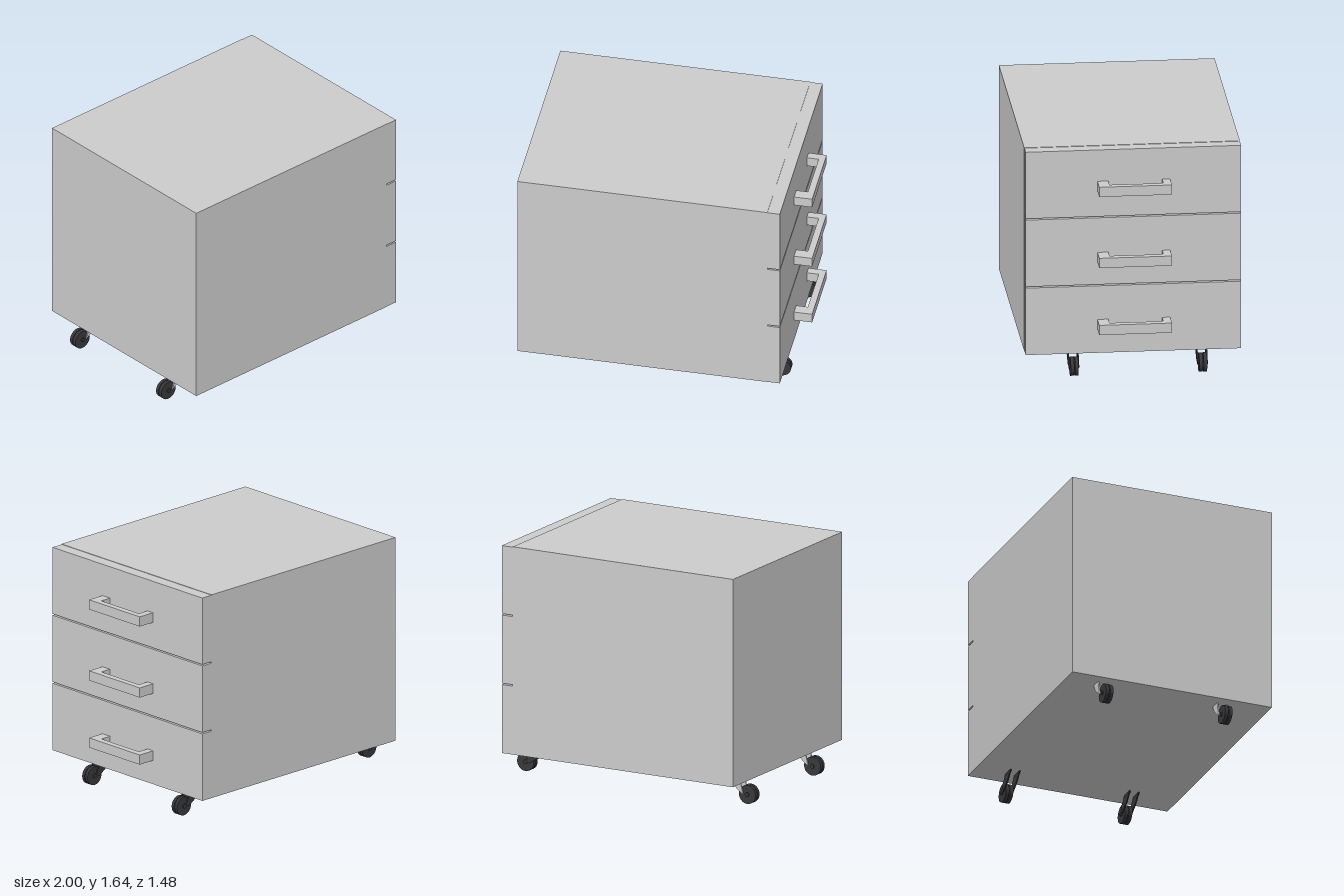
import * as THREE from 'three';

const grey = new THREE.MeshStandardMaterial({ color: 0xcccccc });
const dark = new THREE.MeshStandardMaterial({ color: 0x38383c });

// Box given by its minimum and maximum corners
function box(name, [x0, y0, z0], [x1, y1, z1], material = grey) {
  const mesh = new THREE.Mesh(new THREE.BoxGeometry(x1 - x0, y1 - y0, z1 - z0), material);
  mesh.position.set((x0 + x1) / 2, (y0 + y1) / 2, (z0 + z1) / 2);
  mesh.name = name;
  return mesh;
}

// Outline in x and y, extruded along z
function slab(name, points, depth, material) {
  const shape = new THREE.Shape(points.map(([x, y]) => new THREE.Vector2(x, y)));
  const geometry = new THREE.ExtrudeGeometry(shape, { depth, bevelEnabled: false });
  geometry.translate(0, 0, -depth / 2);
  const mesh = new THREE.Mesh(geometry, material);
  mesh.name = name;
  return mesh;
}

// U-shaped pull standing out from a drawer front
function createHandle(y) {
  const points = [[0.87, -0.245], [1, -0.245], [1, 0.255], [0.87, 0.255],
    [0.87, 0.2], [0.955, 0.2], [0.955, -0.17], [0.87, -0.17]];
  const handle = slab('handle', points, 0.07, grey);
  handle.rotation.x = -Math.PI / 2;
  handle.position.y = y;
  return handle;
}

// Twin-wheel caster with a plate on each side
function createCaster(name, x, z, forkPoints, forkMaterial) {
  const caster = new THREE.Group();
  caster.name = name;
  const disc = (part, radius, width, dz) => {
    const mesh = new THREE.Mesh(new THREE.CylinderGeometry(radius, radius, width, 32), dark);
    mesh.rotation.x = Math.PI / 2;
    mesh.position.set(x, 0.067, z + dz);
    mesh.name = part;
    caster.add(mesh);
  };
  for (const side of [-1, 1]) {
    disc('wheel', 0.066, 0.024, side * 0.015);
    const plate = slab('forkPlate', forkPoints, 0.009, forkMaterial);
    plate.position.z = z + side * 0.033;
    caster.add(plate);
  }
  disc('axle', 0.015, 0.072, 0);
  return caster;
}

export function createModel() {
  const model = new THREE.Group();
  model.name = 'drawerCabinet';

  // Cabinet body
  model.add(box('cabinetBody', [-0.957, 0.175, -0.743], [0.787, 1.645, 0.74]));

  // Drawer fronts with handles
  const drawers = [[0.175, 0.659, 0.381], [0.669, 1.151, 0.866], [1.161, 1.642, 1.38]];
  for (const [bottom, top, handleY] of drawers) {
    const drawer = new THREE.Group();
    drawer.name = 'drawer';
    drawer.add(box('drawerFront', [0.787, bottom, -0.743], [0.874, top, 0.738]), createHandle(handleY));
    model.add(drawer);
  }

  // Casters, splayed outward at both ends
  const backFork = [[-0.905, 0.066], [-0.83, 0.125], [-0.803, 0.176], [-0.88, 0.176]];
  const frontFork = [[0.655, 0.176], [0.71, 0.113], [0.79, 0.06], [0.815, 0.07], [0.795, 0.12], [0.745, 0.176]];
  for (const z of [0.402, -0.482]) {
    model.add(createCaster('backCaster', -0.934, z, backFork, grey));
    model.add(createCaster('frontCaster', 0.823, z, frontFork, dark));
  }
  return model;
}
